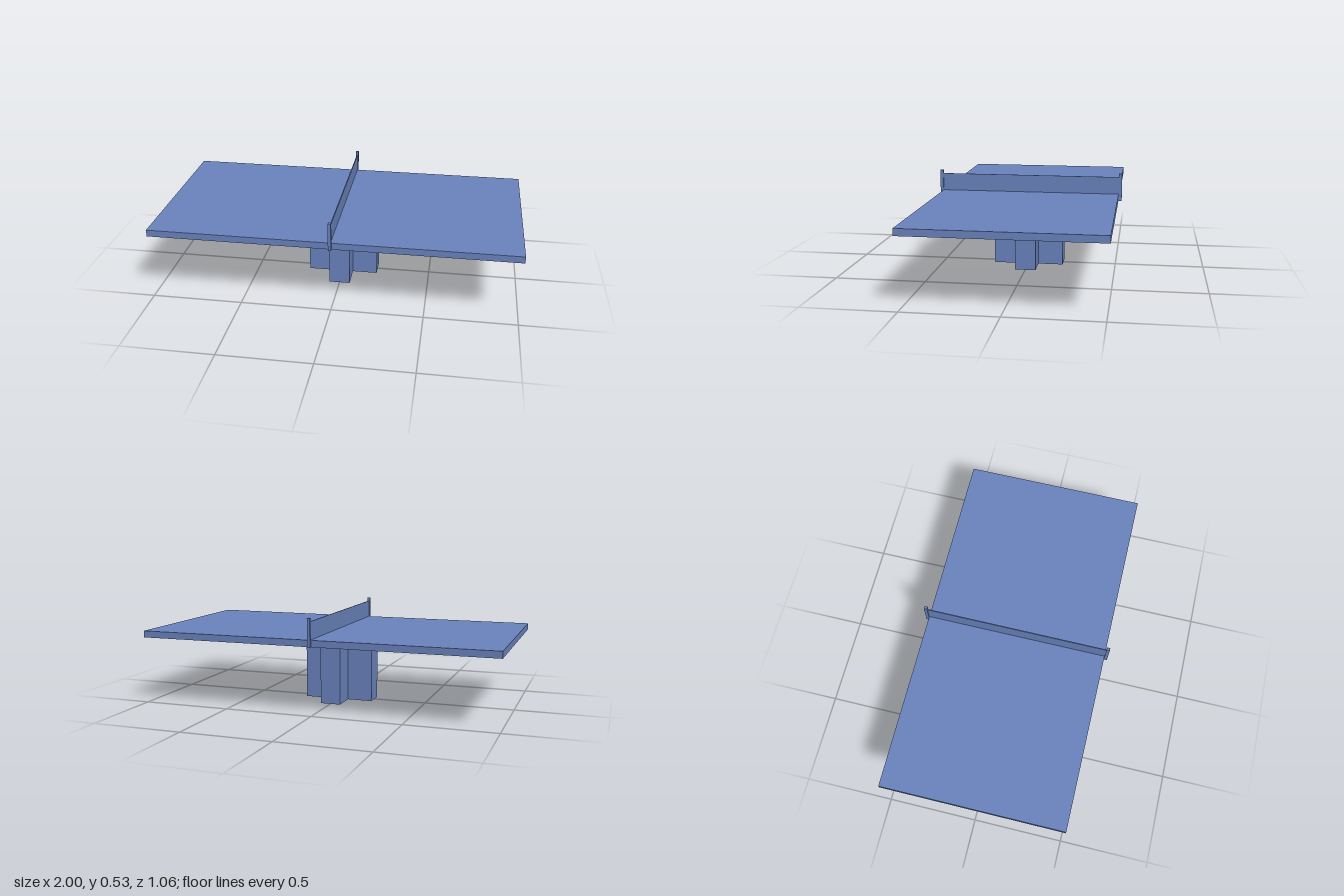
import * as THREE from 'three';

export function createModel() {
  const group = new THREE.Group();
  const blue = new THREE.MeshStandardMaterial({ color: 0x6b84bf });
  blue.name = 'slateBlue';

  function add(name, geometry, x, y, z) {
    const mesh = new THREE.Mesh(geometry, blue);
    mesh.name = name;
    mesh.position.set(x, y, z);
    group.add(mesh);
  }

  // Outline of a rectangle centred on the origin
  const rect = (Type, hx, hz) => new Type().setFromPoints(
    [[-hx, -hz], [hx, -hz], [hx, hz], [-hx, hz]].map(([x, z]) => new THREE.Vector2(x, z)));

  // Extrude a plan-view shape upwards
  const rise = (shape, height) => new THREE.ExtrudeGeometry(shape, { depth: height, bevelEnabled: false })
    .rotateX(-Math.PI / 2);

  const under = 0.375, top = 0.412, ceiling = 0.396;
  const halfX = 1, halfZ = 0.51, rim = 0.016;

  // Table top: a slab with a shallow rim hanging around its edge
  add('tableTop', new THREE.BoxGeometry(2 * halfX, top - ceiling, 2 * halfZ), 0, (top + ceiling) / 2, 0);
  const rimShape = rect(THREE.Shape, halfX, halfZ);
  rimShape.holes.push(rect(THREE.Path, halfX - rim, halfZ - rim));
  add('tableRim', rise(rimShape, ceiling - under), 0, under, 0);

  // Cross-shaped pedestal
  const a = 0.198, b = 0.058;
  const cross = new THREE.Shape([
    [-b, -a], [b, -a], [b, -b], [a, -b], [a, b], [b, b],
    [b, a], [-b, a], [-b, b], [-a, b], [-a, -b], [-b, -b],
  ].map(([x, z]) => new THREE.Vector2(x, z)));
  add('pedestal', rise(cross, ceiling), 0, 0, 0);

  // Net and its two posts
  add('net', new THREE.BoxGeometry(0.005, 0.51 - top, 2 * halfZ), 0, (0.51 + top) / 2, 0);
  for (const side of [-1, 1]) {
    add(side > 0 ? 'frontNetPost' : 'backNetPost',
      new THREE.BoxGeometry(0.016, 0.53 - under, 0.018), 0, (0.53 + under) / 2, side * (halfZ + 0.009));
  }

  return group;
}
